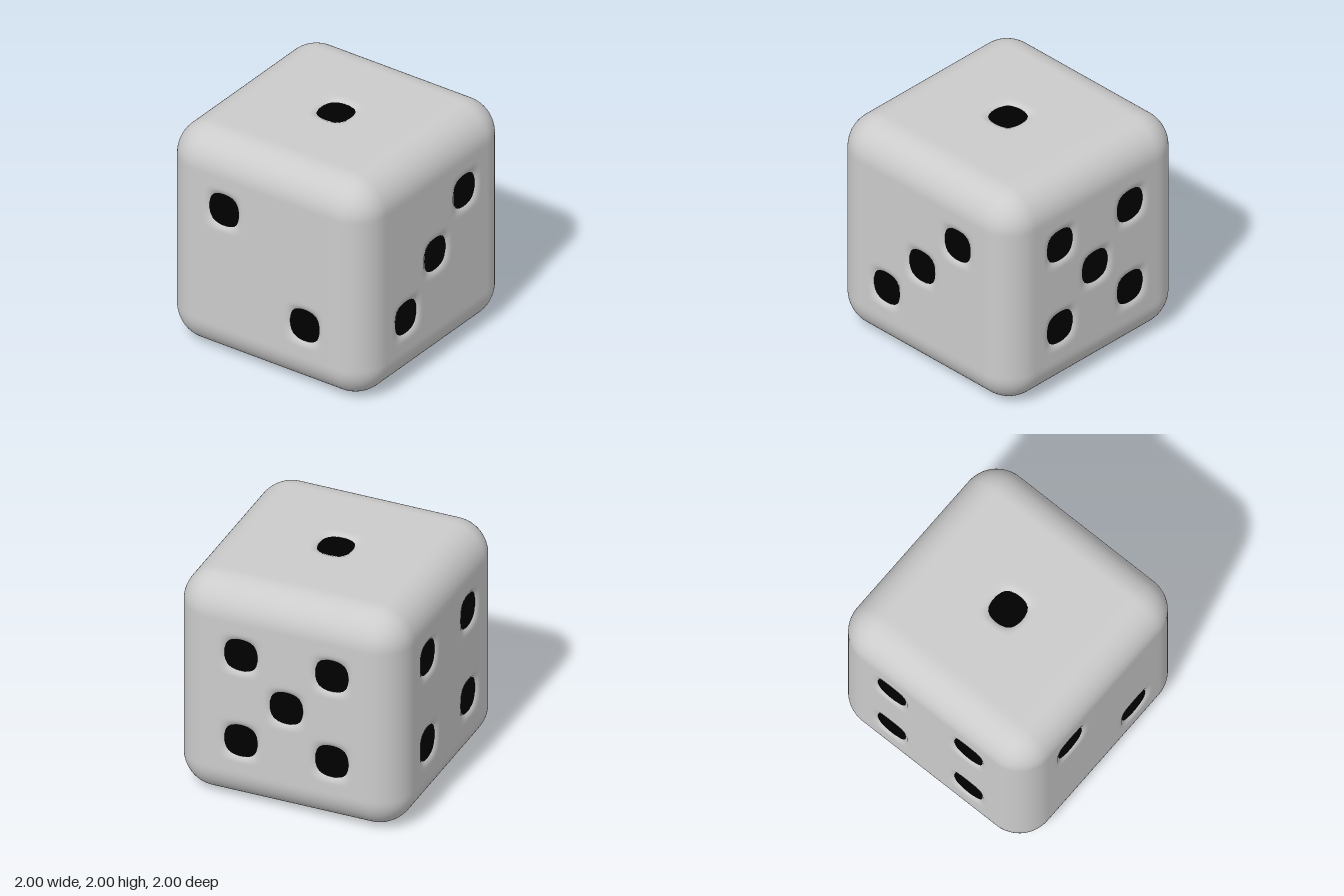
import * as THREE from 'three';
import { mergeVertices } from 'three/addons/utils/BufferGeometryUtils.js';

const SEGMENTS = 80;
const EDGE = 0.3;         // rounding radius of edges and corners
const NOTCH_R = 0.19;     // outer reach of a pip hollow
const NOTCH_DEPTH = 0.15;
const PIP_INSET = 0.02;   // black floor below the face
const D = 0.4;            // pip spacing

// Pips per face, given on the two remaining axes in x, y, z order
const corners = [[-D, -D], [-D, D], [D, -D], [D, D]];
const faces = [
  { axis: 1, sign: 1, pips: [[0, 0]] },
  { axis: 0, sign: -1, pips: [[D, -D], [-D, D]] },
  { axis: 2, sign: 1, pips: [[-D, -D], [0, 0], [D, D]] },
  { axis: 2, sign: -1, pips: corners },
  { axis: 0, sign: 1, pips: [...corners, [0, 0]] },
  { axis: 1, sign: -1, pips: [...corners, [-D, 0], [D, 0]] },
];

const wave = (d) => (1 + Math.cos(Math.PI * Math.min(1, Math.abs(d) / NOTCH_R))) / 2;
const otherAxes = (axis) => [0, 1, 2].filter((i) => i !== axis);

// Cube with rounded edges and a smooth hollow under every pip
function bodyGeometry() {
  let geo = new THREE.BoxGeometry(2, 2, 2, SEGMENTS, SEGMENTS, SEGMENTS);
  geo.deleteAttribute('normal');
  geo.deleteAttribute('uv');
  geo = mergeVertices(geo);
  const pos = geo.attributes.position;
  const p = new THREE.Vector3();
  const core = new THREE.Vector3();
  const inner = 1 - EDGE;
  for (let i = 0; i < pos.count; i++) {
    p.fromBufferAttribute(pos, i);
    core.copy(p).clampScalar(-inner, inner);
    const q = p.clone().sub(core).setLength(EDGE).add(core);
    for (const { axis, sign, pips } of faces) {
      if (Math.abs(p.getComponent(axis) - sign) > 1e-5) continue;
      const [a, b] = otherAxes(axis);
      let depth = 0;
      for (const [u, v] of pips) {
        depth += NOTCH_DEPTH * wave(p.getComponent(a) - u) * wave(p.getComponent(b) - v);
      }
      q.setComponent(axis, q.getComponent(axis) - sign * depth);
    }
    pos.setXYZ(i, q.x, q.y, q.z);
  }
  geo.computeVertexNormals();
  return geo;
}

export function createModel() {
  const model = new THREE.Group();
  model.name = 'die';
  const die = new THREE.Group();
  die.name = 'dieBody';
  die.position.y = 1;
  model.add(die);

  const body = new THREE.Mesh(bodyGeometry(), new THREE.MeshStandardMaterial({ color: 0xcccccc }));
  body.name = 'roundedCube';
  die.add(body);

  // Black pip floors, cut to shape by the hollows
  const black = new THREE.MeshStandardMaterial({ color: 0x000000 });
  const disc = new THREE.CircleGeometry(0.18, 32);
  const forward = new THREE.Vector3(0, 0, 1);
  for (const { axis, sign, pips } of faces) {
    const normal = new THREE.Vector3().setComponent(axis, sign);
    const [a, b] = otherAxes(axis);
    for (const [u, v] of pips) {
      const pip = new THREE.Mesh(disc, black);
      pip.name = 'pip';
      pip.quaternion.setFromUnitVectors(forward, normal);
      pip.position.setComponent(axis, sign * (1 - PIP_INSET));
      pip.position.setComponent(a, u).setComponent(b, v);
      die.add(pip);
    }
  }
  return model;
}
